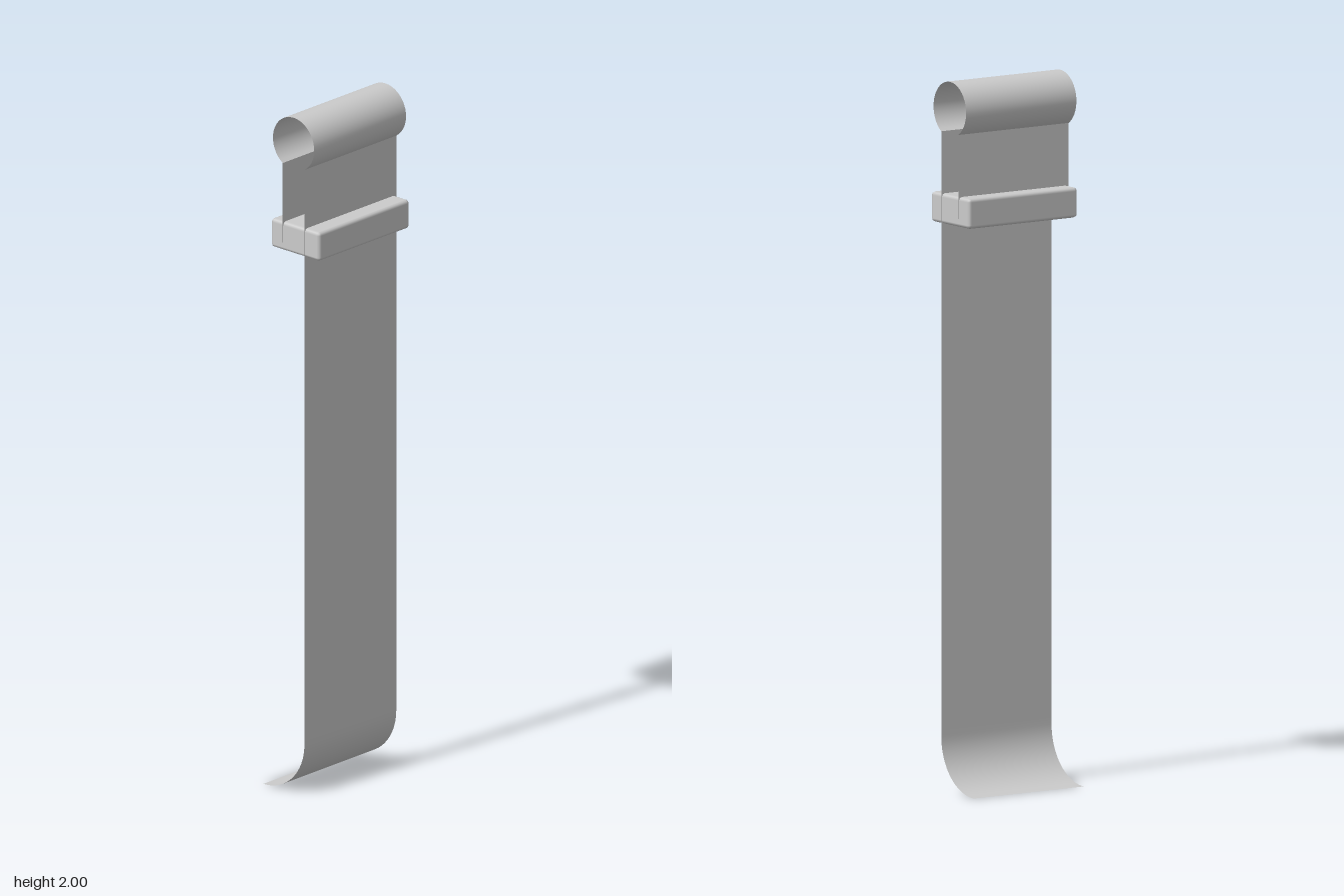
import * as THREE from 'three';
import { RoundedBoxGeometry } from 'three/addons/geometries/RoundedBoxGeometry.js';

const WIDTH = 0.376;       // strap width along z
const CX = 0.009;          // centre of the loop in x
const LOOP_Y = 1.922, LOOP_R = 0.078;
const GAP = 0.041;         // half distance between the two strap layers
const NECK_Y = LOOP_Y - Math.sqrt(LOOP_R ** 2 - GAP ** 2);

const sheetMaterial = new THREE.MeshStandardMaterial({ color: 0xcccccc, side: THREE.DoubleSide });
const solidMaterial = new THREE.MeshStandardMaterial({ color: 0xcccccc });

// Thin sheet: an open x-y profile swept straight across the strap width
function sheet(name, points) {
  const geometry = new THREE.PlaneGeometry(1, 1, points.length - 1, 1);
  const pos = geometry.attributes.position;
  const n = points.length;
  for (let i = 0; i < pos.count; i++) {
    const p = points[i % n];
    pos.setXYZ(i, p.x, p.y, i < n ? -WIDTH / 2 : WIDTH / 2);
  }
  geometry.computeVertexNormals();
  const mesh = new THREE.Mesh(geometry, sheetMaterial);
  mesh.name = name;
  return mesh;
}

function arc(cx, cy, r, from, to, steps) {
  return Array.from({ length: steps + 1 }, (_, i) => {
    const a = from + (to - from) * i / steps;
    return new THREE.Vector2(cx + r * Math.cos(a), cy + r * Math.sin(a));
  });
}

export function createModel() {
  const group = new THREE.Group();
  group.name = 'strap';

  // Round loop, open at the bottom where the two layers meet it
  const open = Math.asin(GAP / LOOP_R);
  group.add(sheet('loop',
    arc(CX, LOOP_Y, LOOP_R, -Math.PI / 2 + open, Math.PI * 1.5 - open, 32)));

  // Long layer with a quarter-round foot curling towards -x
  const x = CX + GAP, tip = -0.105, r = x - tip;
  group.add(sheet('longStrap', [
    new THREE.Vector2(x, NECK_Y),
    new THREE.Vector2(x, r + 0.02),
    ...arc(tip, r, r, 0, -Math.PI / 2, 16),
  ]));

  // Short layer ending inside the clasp
  group.add(sheet('shortStrap', [
    new THREE.Vector2(CX - GAP, 1.62),
    new THREE.Vector2(CX - GAP, NECK_Y),
  ]));

  // Clasp block with bevelled edges
  const clasp = new THREE.Mesh(new RoundedBoxGeometry(0.184, 0.085, 0.372, 1, 0.01), solidMaterial);
  clasp.name = 'clasp';
  clasp.position.set(0.012, 1.638, 0);
  group.add(clasp);

  return group;
}
